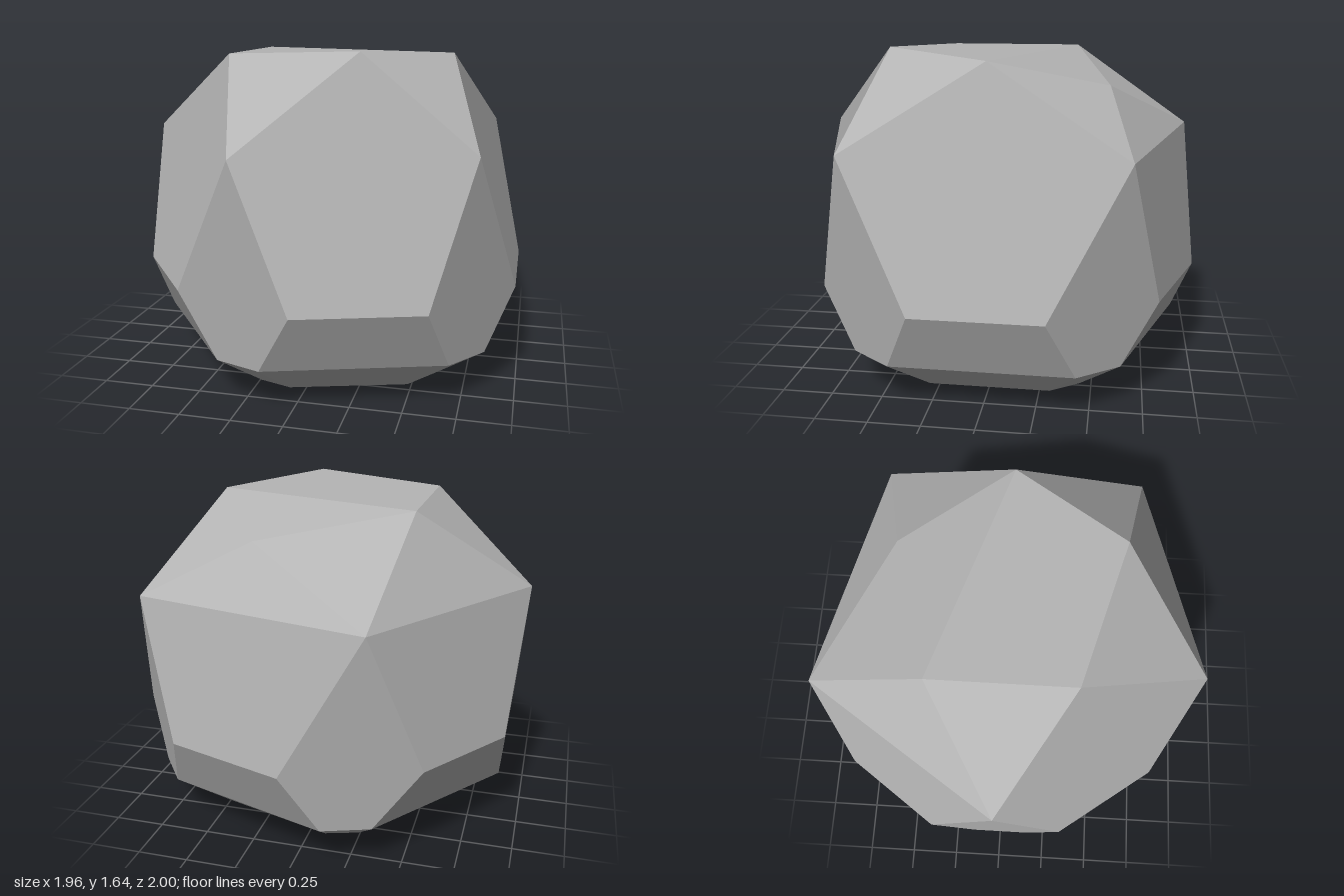
import * as THREE from 'three';

const V = (x, y, z) => new THREE.Vector3(x, y, z);
const CENTRE = V(0, 0.8, 0);

// Each facet gets one shared normal, pointing away from the centre
function facetGeometry(facets) {
  const positions = [], normals = [];
  for (const facet of facets) {
    const normal = V(0, 0, 0), middle = V(0, 0, 0);
    facet.forEach((p, i) => {
      normal.add(p.clone().cross(facet[(i + 1) % facet.length]));
      middle.addScaledVector(p, 1 / facet.length);
    });
    normal.normalize();
    const flip = normal.dot(middle.sub(CENTRE)) < 0;
    if (flip) normal.negate();
    for (let i = 1; i < facet.length - 1; i++) {
      const b = facet[flip ? i + 1 : i], c = facet[flip ? i : i + 1];
      for (const p of [facet[0], b, c]) {
        positions.push(p.x, p.y, p.z);
        normals.push(normal.x, normal.y, normal.z);
      }
    }
  }
  const geometry = new THREE.BufferGeometry();
  geometry.setAttribute('position', new THREE.Float32BufferAttribute(positions, 3));
  geometry.setAttribute('normal', new THREE.Float32BufferAttribute(normals, 3));
  return geometry;
}

export function createModel() {
  const stone = new THREE.MeshStandardMaterial({ color: 0xb4b4b4 });
  stone.name = 'stone grey';

  // Top points
  const frontLeft = V(0.25, 1.64, 0.54), frontRight = V(-0.45, 1.61, 0.34);
  const backRight = V(-0.45, 1.61, -0.35), backLeft = V(0.28, 1.47, -0.55);
  const left = V(0.62, 1.61, 0);

  // Five shoulder corners, and below each a pair of points on three rings
  const corners = [V(0.81, 1.2, 0.66), V(-0.24, 1.2, 0.98), V(-0.98, 1.2, -0.02),
    V(-0.36, 1.2, -0.95), V(0.81, 1.2, -0.67)];
  const waist = [
    [V(0.98, 0.51, 0.31), V(0.62, 0.51, 0.81)],
    [V(0.03, 0.51, 1), V(-0.57, 0.53, 0.8)],
    [V(-0.92, 0.53, 0.32), V(-0.92, 0.53, -0.36)],
    [V(-0.6, 0.53, -0.81), V(0.03, 0.51, -1)],
    [V(0.62, 0.51, -0.81), V(0.98, 0.51, -0.31)],
  ];
  // The two lower rings mirror from front to back
  const ring = (y, half) => {
    const all = [...half, ...half.slice().reverse().map(([x, z]) => [x, -z])].map(([x, z]) => V(x, y, z));
    return [0, 2, 4, 6, 8].map((i) => [all[i], all[i + 1]]);
  };
  const hip = ring(0.21, [[0.85, 0.44], [0.7, 0.64], [-0.14, 0.91], [-0.37, 0.83], [-0.89, 0.14]]);
  const foot = ring(0, [[0.58, 0.3], [0.48, 0.44], [-0.08, 0.61], [-0.24, 0.56], [-0.58, 0.08]]);

  const [cFrontLeft, cFront, cRight, cBack, cBackLeft] = corners;
  const crown = [
    [frontRight, frontLeft, left, backRight],
    [backRight, left, backLeft],
    [backLeft, left, cBackLeft],
    [backLeft, cBackLeft, cBack],
    [backRight, backLeft, cBack],
    [frontRight, backRight, cRight],
    [frontRight, frontLeft, cFront],
    [frontLeft, left, cFrontLeft],
    [backRight, cRight, cBack],
  ];

  // Large side facets, some of which rise to a top point
  const peaks = [frontLeft, frontRight, null, null, left];
  const sides = [], base = [];
  for (let i = 0; i < 5; i++) {
    const n = (i + 1) % 5;
    const side = [corners[i], waist[i][1], waist[n][0], corners[n]];
    if (peaks[i]) side.push(peaks[i]);
    sides.push(side);
    sides.push([corners[i], waist[i][0], hip[i][0], hip[i][1], waist[i][1]]);
    // Band and sloping underside
    base.push([waist[i][1], hip[i][1], hip[n][0], waist[n][0]]);
    base.push([hip[i][0], hip[i][1], foot[i][1], foot[i][0]]);
    base.push([hip[i][1], hip[n][0], foot[n][0], foot[i][1]]);
  }
  base.push(foot.flat());

  const group = new THREE.Group();
  group.name = 'boulder';
  for (const [name, facets] of Object.entries({ crown, sides, base })) {
    const mesh = new THREE.Mesh(facetGeometry(facets), stone);
    mesh.name = name;
    group.add(mesh);
  }
  return group;
}
